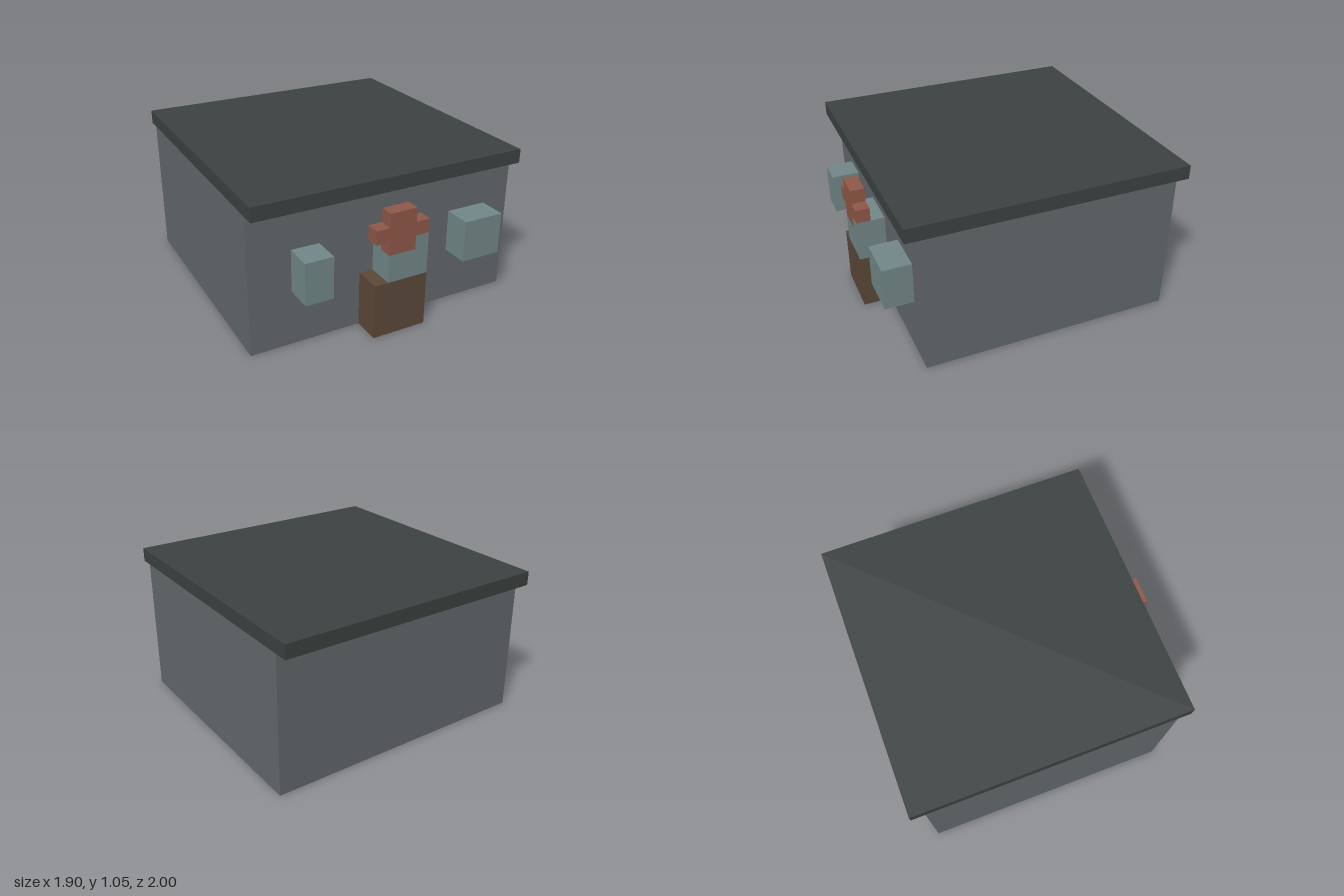
import * as THREE from 'three';

const U = 2 / 21; // one block

const material = (name, color) => {
  const m = new THREE.MeshStandardMaterial({ color });
  m.name = name;
  return m;
};

export function createModel() {
  const grey = material('wall grey', 0x62686b);
  const dark = material('roof slate', 0x3b4241);
  const teal = material('window teal', 0x728788);
  const red = material('cross red', 0x8f5848);
  const brown = material('door brown', 0x5b4838);

  const model = new THREE.Group();
  model.name = 'house';

  // Box from ranges given in blocks
  const box = (name, mat, [x0, x1], [y0, y1], [z0, z1], parent = model) => {
    const mesh = new THREE.Mesh(
      new THREE.BoxGeometry((x1 - x0) * U, (y1 - y0) * U, (z1 - z0) * U), mat);
    mesh.position.set((x0 + x1) / 2 * U, (y0 + y1) / 2 * U, (z0 + z1) / 2 * U);
    mesh.name = name;
    parent.add(mesh);
  };

  const porch = [8.5, 10.5]; // depth of the parts standing out from the front

  // Building and overhanging flat roof
  box('walls', grey, [-10, 10], [0, 10], [-9.5, 8.5]);
  box('roof', dark, [-10, 10], [10, 11], [-10.5, 9.5]);

  // Door and side windows
  box('door', brown, [-2, 2], [0, 4], porch);
  box('rightWindow', teal, [-7, -5], [4, 7], porch);
  box('leftWindow', teal, [5, 8], [4, 7], porch);

  // Window over the door, notched for the foot of the cross
  const doorWindow = new THREE.Group();
  doorWindow.name = 'doorWindow';
  model.add(doorWindow);
  box('windowBase', teal, [-1, 2], [4, 6], porch, doorWindow);
  box('windowBack', teal, [-1, 1], [6, 7], [8.5, 9.5], doorWindow);
  box('windowSide', teal, [1, 2], [6, 7], porch, doorWindow);

  // Cross sign, one outline extruded by one block
  const outline = [[-1, 6], [1, 6], [1, 7], [2, 7], [2, 8], [1, 8],
    [1, 9], [-1, 9], [-1, 8], [-2, 8], [-2, 7], [-1, 7]];
  const shape = new THREE.Shape(outline.map(([x, y]) => new THREE.Vector2(x * U, y * U)));
  const cross = new THREE.Mesh(
    new THREE.ExtrudeGeometry(shape, { depth: U, bevelEnabled: false }), red);
  cross.position.z = 9.5 * U;
  cross.name = 'crossSign';
  model.add(cross);

  return model;
}
